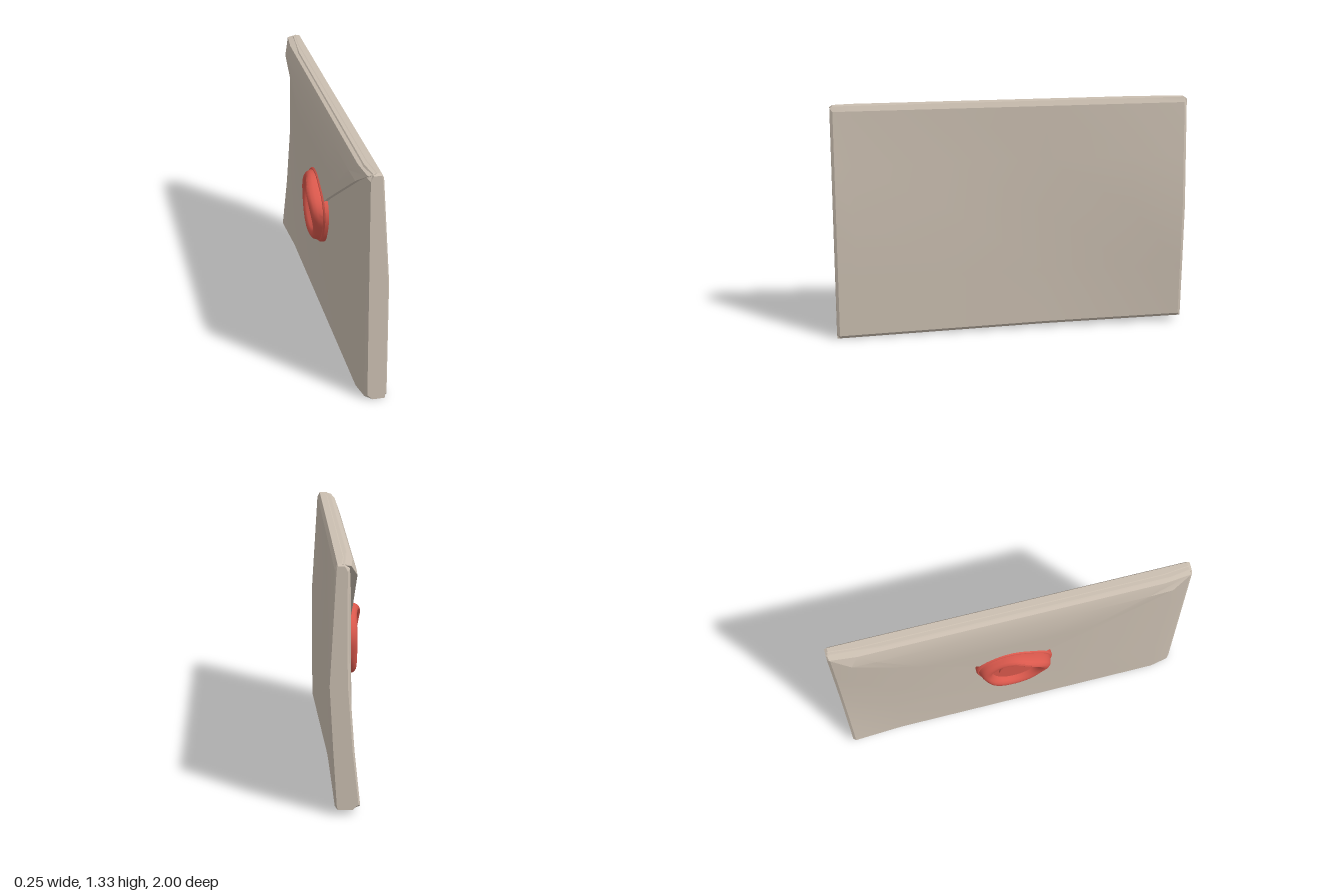
import * as THREE from 'three';
import { toCreasedNormals } from 'three/addons/utils/BufferGeometryUtils.js';

const paper = new THREE.MeshStandardMaterial({ color: 0xcbbfb1 });
paper.name = 'paper';
const wax = new THREE.MeshStandardMaterial({ color: 0xd9584c });
wax.name = 'red wax';

// Joins rings of [x, y, z] points; closed rings wrap round, caps close both ends.
function loft(rings, closed, caps, crease) {
  const n = rings[0].length;
  const pos = rings.flat(2);
  const idx = [];
  for (let i = 0; i < rings.length - 1; i++) {
    for (let j = 0; j < (closed ? n : n - 1); j++) {
      const k = (j + 1) % n;
      const a = i * n + j, b = i * n + k, c = b + n, d = a + n;
      idx.push(a, b, c, a, c, d);
    }
  }
  if (caps) {
    const last = (rings.length - 1) * n;
    for (const [start, end] of [[0, false], [last, true]]) {
      const ring = rings[end ? rings.length - 1 : 0];
      const mid = pos.length / 3;
      for (let axis = 0; axis < 3; axis++) pos.push(ring.reduce((s, p) => s + p[axis], 0) / n);
      for (let j = 0; j < n; j++) {
        const a = start + j, b = start + (j + 1) % n;
        if (end) idx.push(mid, a, b); else idx.push(mid, b, a);
      }
    }
  }
  const g = new THREE.BufferGeometry();
  g.setAttribute('position', new THREE.Float32BufferAttribute(pos, 3));
  g.setIndex(idx);
  return toCreasedNormals(g, crease);
}

// Linear interpolation through [position, value] stops
function ramp(stops, t) {
  if (t <= stops[0][0]) return stops[0][1];
  for (let i = 1; i < stops.length; i++) {
    const [t0, v0] = stops[i - 1], [t1, v1] = stops[i];
    if (t <= t1) return v0 + (v1 - v0) * (t - t0) / (t1 - t0);
  }
  return stops[stops.length - 1][1];
}

// Plain side (+x) and sealed side (-x), slightly warped towards the ends
const plainSide = (y, z) => ramp([
  [-1, ramp([[0, 0.078], [0.68, 0.118], [1.32, 0.08]], y)],
  [-0.2, 0.08],
  [1, ramp([[0, 0.12], [0.7, 0.12], [1.32, 0.08]], y)]], z);
const sealedSide = (y, z) => ramp([
  [-1, ramp([[0.04, -0.053], [0.45, -0.01], [0.8, 0.01], [1.32, 0.005]], y)],
  [-0.7, ramp([[0.04, -0.035], [0.5, -0.022], [1.32, -0.018]], y)],
  [0.88, ramp([[0, -0.025], [1.32, -0.018]], y)],
  [1, 0]], z);

function envelopeBody() {
  const rings = [-1, -0.985, -0.7, -0.2, 0.3, 0.88, 0.985, 1].map(z => {
    const inset = Math.abs(z) === 1 ? 0.01 : 0;
    const base = 0.015 * (1 - z);
    const ys = [base + 0.018 + inset, 0.35, 0.7, 1.0, 1.305 - inset];
    const lo = ys[0], hi = ys[4];
    const ring = ys.map(y => [plainSide(y, z) - inset, y, z]);
    ring.push([plainSide(hi, z) - 0.014, 1.333 - inset, z]);
    ring.push([sealedSide(hi, z) + 0.025, 1.333 - inset, z]);
    for (const y of [...ys].reverse()) ring.push([sealedSide(y, z) + inset, y, z]);
    ring.push([sealedSide(lo, z) + 0.04, base, z]);
    ring.push([plainSide(lo, z) - 0.015, base, z]);
    return ring;
  });
  return loft(rings, true, true, 0.35);
}

// Triangular flap folded over the top edge, its tip hidden under the seal
function envelopeFlap() {
  const profile = [[1.334, 0.03], [1.322, -0.018], [1.25, -0.044], [1.0, -0.044], [0.85, -0.044], [0.66, -0.04]];
  const rings = profile.map(([y, x]) => {
    const w = Math.max(0.005, Math.min(0.99, 0.99 * (y - 0.67) / 0.65));
    const row = [1, 0.85, 0.4, 0, -0.4, -0.85, -1].map(f => {
      const z = f * w;
      return [x + Math.max(0, (Math.abs(z) - 0.85) / 0.14) * 0.015, y, z];
    });
    return [[0.04, y, w], ...row, [0.04, y, -w]];
  });
  return loft(rings, false, false, 0.35);
}

// Uneven wax pool: thin skirt, rolled rim, sunken centre
function waxSeal() {
  const sides = 48;
  const profile = [
    [1.0, 0.0], [1.0, 0.3], [0.97, 0.42], [0.94, 0.44], [0.95, 0.62], [0.92, 0.82],
    [0.86, 0.96], [0.79, 1.0], [0.72, 0.94], [0.67, 0.8], [0.63, 0.6], [0.6, 0.5], [0.001, 0.5]];
  const rings = profile.map(([f, h], i) => {
    const ring = [];
    for (let j = 0; j < sides; j++) {
      const a = j / sides * Math.PI * 2;
      const bulge = Math.max(0, Math.cos(a - 0.75)) ** 2;
      const skirt = i < 4 ? 0.007 * Math.sin(2 * a + 2.5) + 0.004 : 0;
      const wobble = 0.009 * Math.sin(3 * a + 0.6) + 0.005 * Math.sin(5 * a);
      const outer = 0.209 + skirt + wobble;
      const inner = 0.209;
      const blend = THREE.MathUtils.clamp((f - 0.6) / 0.3, 0, 1);
      const r = f * (inner + (outer - inner) * blend);
      const height = i < 4 || i > 10 ? 0.07 : 0.07 + 0.034 * bulge;
      ring.push([-0.022 - h * height, 0.677 + r * Math.sin(a), r * Math.cos(a)]);
    }
    return ring;
  });
  return loft(rings, true, false, 0.6);
}

export function createModel() {
  const group = new THREE.Group();
  group.name = 'sealedEnvelope';
  const add = (name, geometry, material) => {
    const mesh = new THREE.Mesh(geometry, material);
    mesh.name = name;
    group.add(mesh);
    return mesh;
  };
  add('envelopeBody', envelopeBody(), paper);
  add('flap', envelopeFlap(), paper);
  add('waxSeal', waxSeal(), wax);

  // Raised plain stamp disc in the middle of the wax
  const disc = add('stampDisc', toCreasedNormals(new THREE.CylinderGeometry(0.088, 0.094, 0.02, 40), 0.6), wax);
  disc.rotation.z = Math.PI / 2;
  disc.position.set(-0.056, 0.677, 0);
  return group;
}
